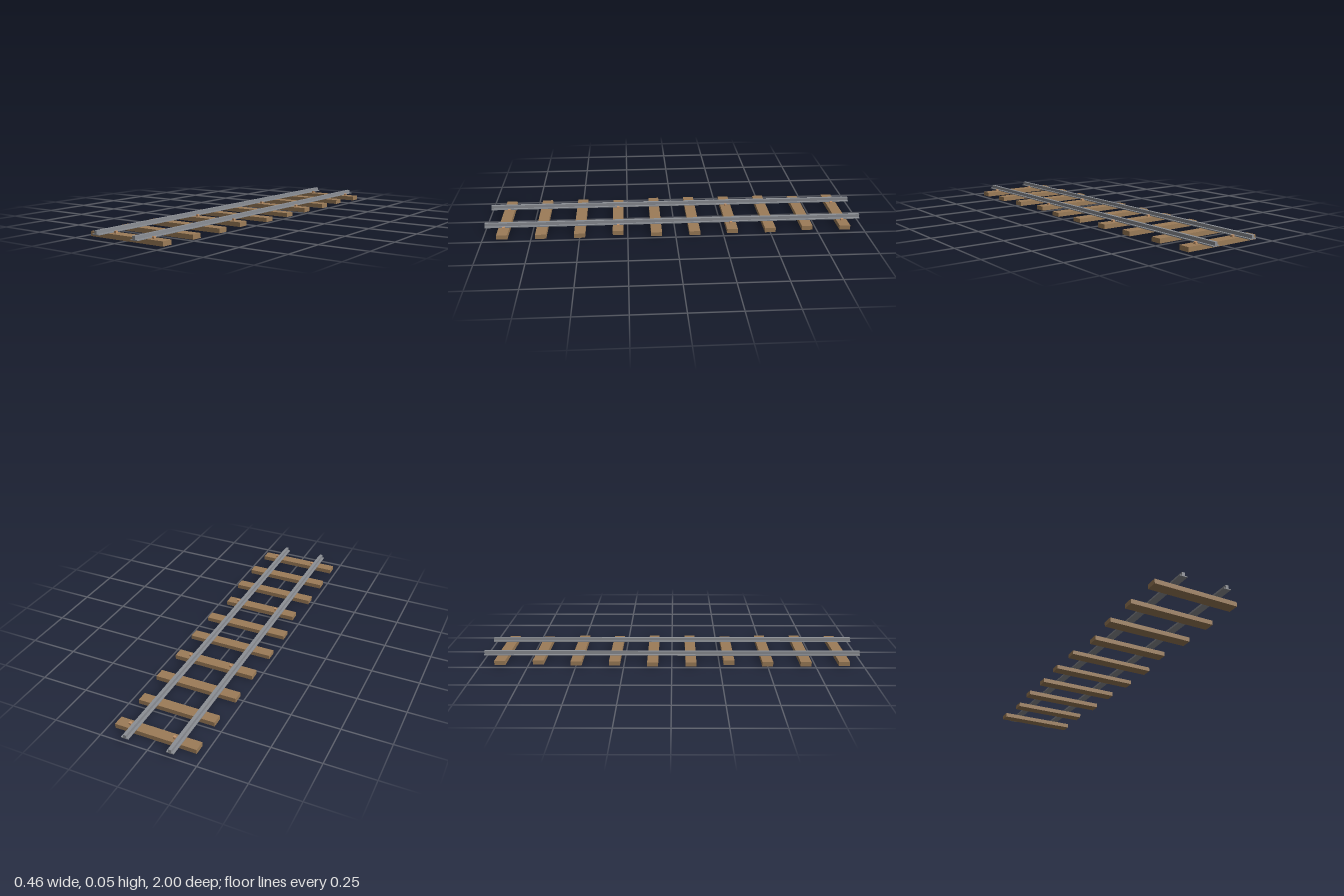
import * as THREE from 'three';

const mat = (name, color) => {
  const m = new THREE.MeshStandardMaterial({ color });
  m.name = name;
  return m;
};

export function createModel() {
  const track = new THREE.Group();
  track.name = 'railwayTrack';
  const wood = mat('sleeper wood', 0x9c7c58);
  const steel = mat('rail steel', 0x8c8f95);
  const spikeTan = mat('spike tan', 0xc4946a);

  // Box resting on the given base height
  const box = (name, w, h, d, x, base, z, material, parent) => {
    const mesh = new THREE.Mesh(new THREE.BoxGeometry(w, h, d), material);
    mesh.name = name;
    mesh.position.set(x, base + h / 2, z);
    parent.add(mesh);
  };

  // Sleepers of uneven length, listed from back to front
  const halfLengths = [0.214, 0.205, 0.221, 0.22, 0.23, 0.231, 0.205, 0.227, 0.227, 0.222];
  halfLengths.forEach((half, i) => {
    const h = half > 0.228 ? 0.0215 : 0.0235;
    box('sleeper', half * 2, h, 0.057, 0, 0, -0.9 + i * 0.2, wood, track);
  });

  // Rails: wide thin foot with a narrow head, and spikes on every third sleeper
  for (const x of [-0.117, 0.117]) {
    const rail = new THREE.Group();
    rail.name = x > 0 ? 'leftRail' : 'rightRail';
    box('railFoot', 0.039, 0.0045, 2, x, 0.026, 0, steel, rail);
    box('railHead', 0.0155, 0.0165, 2, x, 0.0305, 0, steel, rail);
    for (const z of [-0.9, -0.3, 0.3, 0.9]) {
      box('spike', 0.013, 0.012, 0.013, x + 0.029, 0.022, z, spikeTan, rail);
    }
    track.add(rail);
  }
  return track;
}
